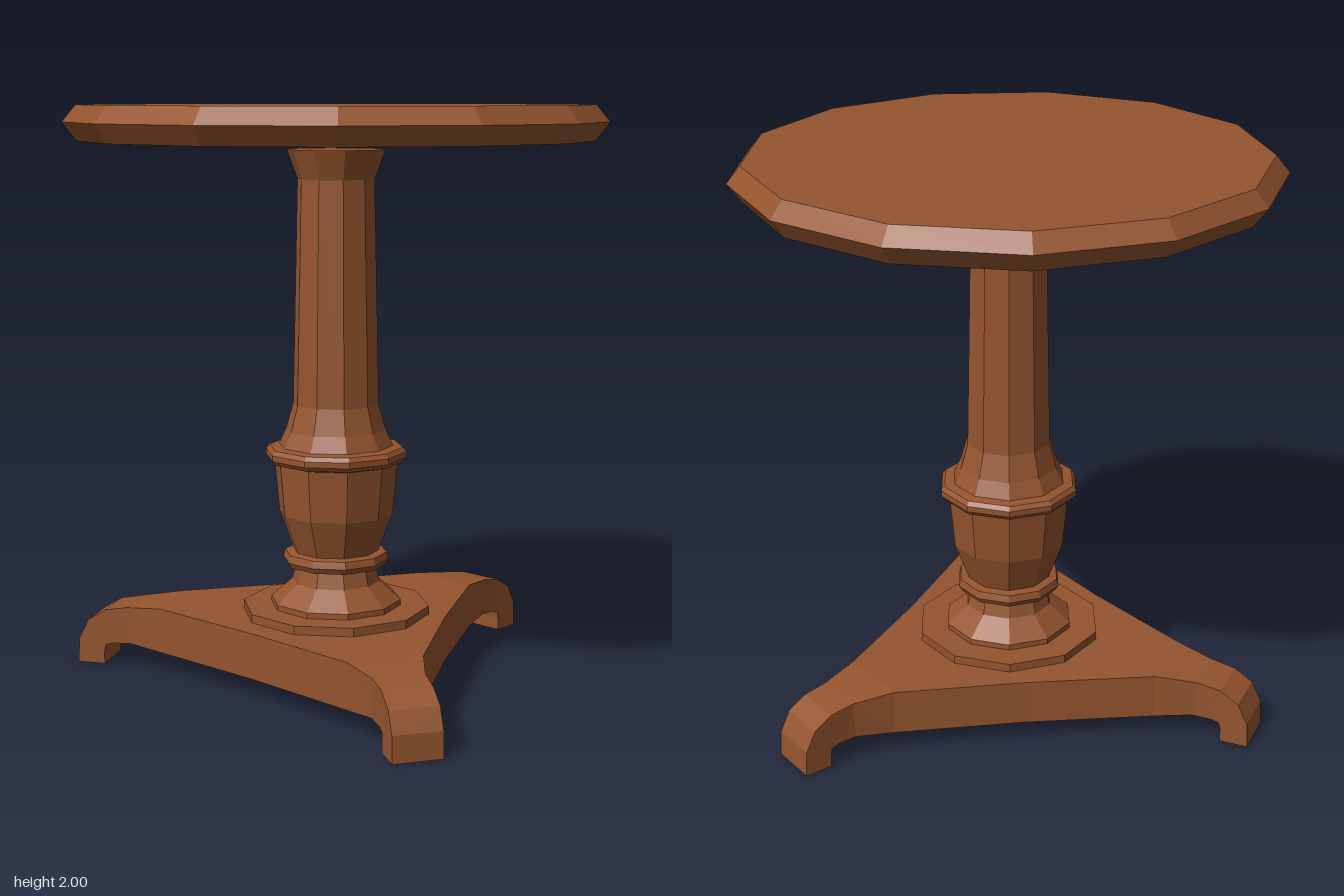
import * as THREE from 'three';

const wood = new THREE.MeshStandardMaterial({ color: 0x95552f, flatShading: true });
const CX = 0.01, CZ = 0.013;

function addMesh(parent, geometry, name) {
  const mesh = new THREE.Mesh(geometry, wood);
  mesh.name = name;
  parent.add(mesh);
  return mesh;
}

// Faceted turned part from [radius, height] pairs, bottom to top
function turned(profile, sides, phiStart) {
  const points = profile.map(([r, y]) => new THREE.Vector2(r, y));
  return new THREE.LatheGeometry(points, sides, phiStart).translate(CX, 0, CZ);
}

// Leg lofted along +x through sections [topX, topY, bottomX, bottomY, halfWidth]
function legGeometry(sections) {
  const positions = [], index = [];
  for (const [tx, ty, bx, by, w] of sections) {
    positions.push(tx, ty, -w, tx, ty, w, bx, by, w, bx, by, -w);
  }
  for (let i = 0; i < sections.length - 1; i++) {
    for (let j = 0; j < 4; j++) {
      const k = (j + 1) % 4;
      const a = i * 4 + j, b = i * 4 + k, c = b + 4, d = a + 4;
      index.push(a, b, c, a, c, d);
    }
  }
  const e = (sections.length - 1) * 4; // sole of the foot
  index.push(e, e + 1, e + 2, e, e + 2, e + 3);
  const indexed = new THREE.BufferGeometry();
  indexed.setAttribute('position', new THREE.Float32BufferAttribute(positions, 3));
  indexed.setIndex(index);
  const geometry = indexed.toNonIndexed();
  geometry.computeVertexNormals();
  return geometry;
}

export function createModel() {
  const model = new THREE.Group();
  model.name = 'pedestalTable';

  // Thirteen-sided top with a pointed rim
  addMesh(model, turned([
    [0, 1.88], [0.875, 1.88], [0.922, 1.943], [0.875, 2], [0, 2],
  ], 13, Math.PI), 'tableTop');

  // Turned pedestal
  const turn = THREE.MathUtils.degToRad(-12);
  addMesh(model, turned([
    [0, 0.255], [0.23, 0.255], [0.23, 0.28], [0.155, 0.345], [0.14, 0.405],
    [0.175, 0.405], [0.187, 0.425], [0.18, 0.45], [0.15, 0.455],
    [0.2, 0.59], [0.217, 0.77], [0.235, 0.775], [0.247, 0.79], [0.247, 0.81],
    [0.235, 0.825], [0.2, 0.83], [0.175, 0.885], [0.15, 0.975],
    [0.133, 1.75], [0.17, 1.85], [0, 1.85],
  ], 10, turn), 'pedestal');

  // Flat plate under the pedestal
  addMesh(model, turned([
    [0, 0.22], [0.33, 0.22], [0.33, 0.26], [0, 0.26],
  ], 10, turn), 'pedestalPlate');

  // Three-sided base with slightly hollow sides
  const base = new THREE.Group();
  base.name = 'base';
  base.position.set(0, 0, CZ);
  model.add(base);

  const outline = [];
  for (let i = 0; i < 3; i++) {
    const a = Math.PI / 3 + i * Math.PI * 2 / 3;
    const corner = (r, w) => new THREE.Vector2(
      r * Math.cos(a) - w * Math.sin(a), r * Math.sin(a) + w * Math.cos(a));
    const mid = a + Math.PI / 3;
    outline.push(corner(0.6, -0.13), corner(0.6, 0.13),
      new THREE.Vector2(0.4 * Math.cos(mid), 0.4 * Math.sin(mid)));
  }
  const slab = new THREE.ExtrudeGeometry(new THREE.Shape(outline), { depth: 0.16, bevelEnabled: false });
  slab.rotateX(-Math.PI / 2).translate(0, 0.07, 0);
  addMesh(base, slab, 'baseSlab');

  // Legs curling down into square feet
  const leg = legGeometry([
    [0.6, 0.23, 0.6, 0.07, 0.13],
    [0.74, 0.215, 0.73, 0.082, 0.088],
    [0.825, 0.2, 0.8, 0.078, 0.085],
    [0.89, 0.16, 0.825, 0.07, 0.085],
    [0.925, 0.09, 0.83, 0.045, 0.085],
    [0.93, 0, 0.83, 0, 0.085],
  ]);
  for (let i = 0; i < 3; i++) {
    addMesh(base, leg, 'leg').rotation.y = Math.PI / 3 * (2 * i + 1);
  }
  return model;
}
